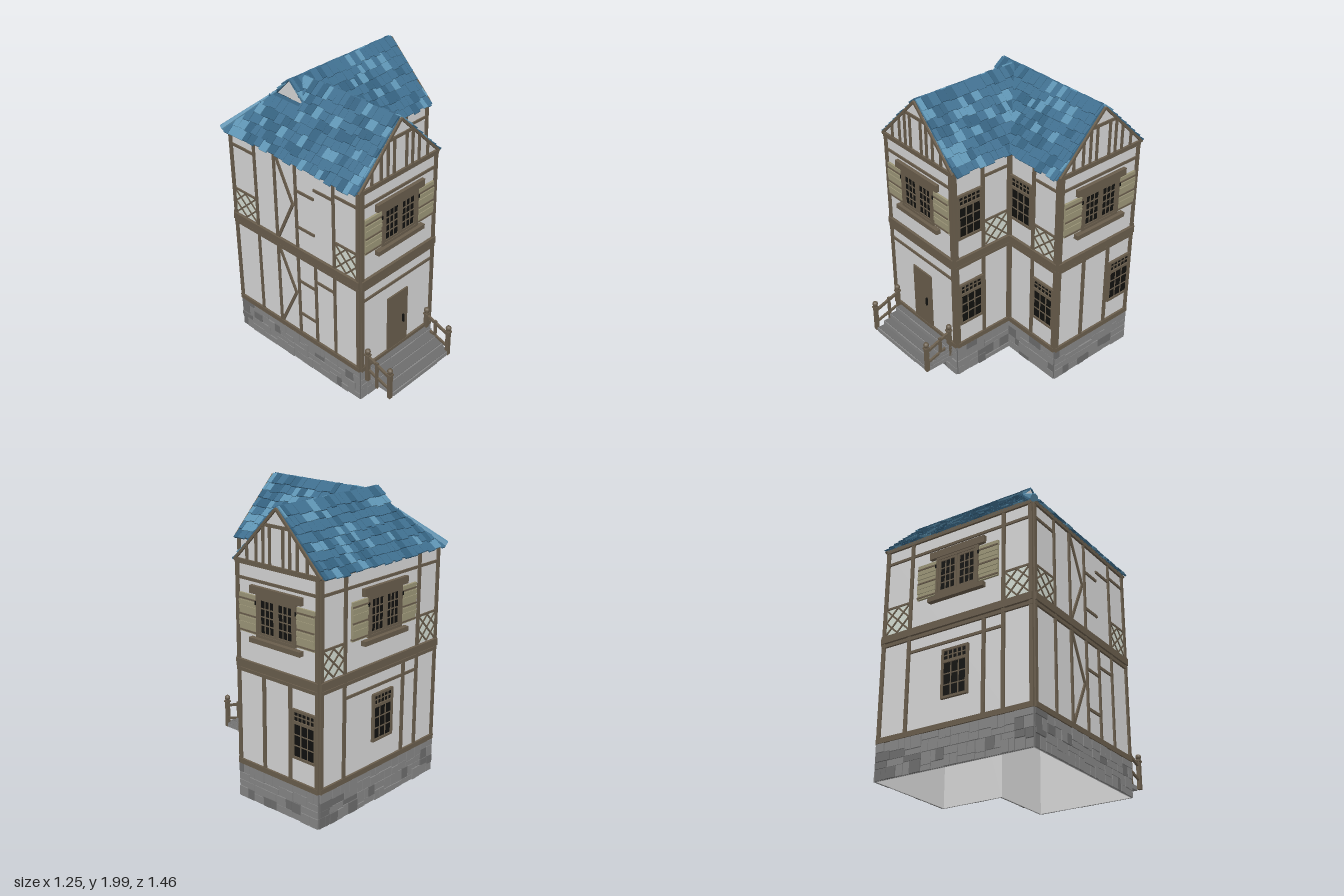
import * as THREE from 'three';
import { mergeGeometries } from 'three/addons/utils/BufferGeometryUtils.js';

const mat = (name, color, side = THREE.FrontSide) =>
  Object.assign(new THREE.MeshStandardMaterial({ color, side }), { name });
const M = {
  wall: mat('plaster', 0xd6d6d6, THREE.DoubleSide),
  panel: mat('pale panel', 0xd3dbd1),
  timber: mat('timber', 0x695d4c),
  shutter: mat('shutter tan', 0x9c9678),
  glass: mat('dark glass', 0x11110f),
  stone: mat('stone', 0x868686),
  darkStone: mat('dark stone', 0x6d6d6d),
  roof: mat('roof blue', 0x3f6f8f),
  roofDark: mat('roof dark blue', 0x33607e, THREE.DoubleSide),
  roofLight: mat('roof light blue', 0x5e94b3),
};
let seed = 7;
const rnd = () => ((seed = (seed * 16807) % 2147483647) / 2147483647);
const vary = (a, b) => a + (b - a) * rnd();

function add(parent, name, geo, material) {
  const m = new THREE.Mesh(geo, material);
  m.name = name;
  parent.add(m);
  return m;
}
const boxGeo = (u0, u1, y0, y1, d0, d1) =>
  new THREE.BoxGeometry(u1 - u0, y1 - y0, d1 - d0).translate((u0 + u1) / 2, (y0 + y1) / 2, (d0 + d1) / 2);
const box = (p, name, m, u0, u1, y0, y1, d1 = 0.012, d0 = 0) => add(p, name, boxGeo(u0, u1, y0, y1, d0, d1), m);

// Slanted timber between two points of a wall
function brace(p, u0, y0, u1, y1, w = 0.014, d = 0.01, name = 'brace') {
  const g = new THREE.BoxGeometry(Math.hypot(u1 - u0, y1 - y0), w, d);
  const m = add(p, name, g, M.timber);
  m.position.set((u0 + u1) / 2, (y0 + y1) / 2, d / 2);
  m.rotation.z = Math.atan2(y1 - y0, u1 - u0);
}
// Wall frame: local x runs along the wall, local z points outwards
function face(root, name, yaw, out) {
  const turn = new THREE.Group(), g = new THREE.Group();
  turn.rotation.y = yaw;
  g.position.z = out;
  g.name = name;
  turn.name = name + 'Turn';
  turn.add(g);
  root.add(turn);
  return g;
}
const post = (p, u, y0, y1, w = 0.024) => box(p, 'post', M.timber, u - w / 2, u + w / 2, y0, y1);
const rail = (p, u0, u1, y, h = 0.018) => box(p, 'rail', M.timber, u0, u1, y - h / 2, y + h / 2, 0.01);

// Glazing bars over a dark pane
function glazing(p, u0, u1, y0, y1, cols, rows, w = 0.007) {
  box(p, 'pane', M.glass, u0, u1, y0, y1, 0.009);
  for (let i = 1; i < cols; i++) {
    const u = u0 + ((u1 - u0) * i) / cols;
    box(p, 'glazingBar', M.timber, u - w / 2, u + w / 2, y0, y1, 0.013);
  }
  for (let j = 1; j < rows; j++) {
    const y = y0 + ((y1 - y0) * j) / rows;
    box(p, 'glazingBar', M.timber, u0, u1, y - w / 2, y + w / 2, 0.013);
  }
}
function frame(p, u0, u1, y0, y1, w, d) {
  box(p, 'windowFrame', M.timber, u0, u0 + w, y0, y1, d);
  box(p, 'windowFrame', M.timber, u1 - w, u1, y0, y1, d);
  box(p, 'windowFrame', M.timber, u0, u1, y0, y0 + w, d);
  box(p, 'windowFrame', M.timber, u0, u1, y1 - w, y1, d);
}
function tallWindow(p, c, y0) {
  const a = c - 0.085, b = c + 0.085;
  frame(p, c - 0.1, c + 0.1, y0, y0 + 0.33, 0.016, 0.018);
  glazing(p, a, b, y0 + 0.015, y0 + 0.235, 3, 3);
  glazing(p, a, b, y0 + 0.255, y0 + 0.315, 5, 2);
  box(p, 'transom', M.timber, a, b, y0 + 0.235, y0 + 0.255, 0.018);
}
function shutteredWindow(p, c) {
  frame(p, c - 0.165, c + 0.165, 1.155, 1.43, 0.018, 0.02);
  for (const s of [-1, 1]) {
    const m = c + s * 0.075;
    frame(p, m - 0.073, m + 0.073, 1.17, 1.415, 0.018, 0.016);
    glazing(p, m - 0.055, m + 0.055, 1.188, 1.397, 3, 4);
    const h = c + s * 0.243;
    box(p, 'shutter', M.shutter, h - 0.072, h + 0.072, 1.165, 1.415, 0.015);
    for (let i = 0; i < 7; i++) {
      const y = 1.172 + i * 0.0345;
      box(p, 'shutterSlat', i % 3 ? M.shutter : M.timber, h - 0.072, h + 0.072, y, y + (i % 3 ? 0.026 : 0.01), 0.02);
    }
    box(p, 'hinge', M.glass, c + s * 0.168 - 0.006, c + s * 0.168 + 0.006, 1.36, 1.385, 0.022);
  }
  box(p, 'lintel', M.timber, c - 0.215, c + 0.215, 1.43, 1.48, 0.025);
  box(p, 'windowSill', M.timber, c - 0.215, c + 0.215, 1.115, 1.147, 0.035);
}
// Square panel with diagonals and a diamond
function lattice(p, u0, u1) {
  const y0 = 0.985, y1 = 1.165, c = (u0 + u1) / 2, m = (y0 + y1) / 2;
  box(p, 'latticePanel', M.panel, u0, u1, y0, y1, 0.004);
  rail(p, u0, u1, 1.172, 0.014);
  [[u0, y0, u1, y1], [u0, y1, u1, y0], [u0, m, c, y1], [c, y1, u1, m], [u1, m, c, y0], [c, y0, u0, m]]
    .forEach((q) => brace(p, ...q, 0.011, 0.009, 'latticeBar'));
}
// Stone plinth, beams and corner posts shared by every wall
function dress(p, u0, u1) {
  const sets = [[], []];
  box(p, 'plinthBacking', M.darkStone, u0, u1, 0, 0.24, 0.003);
  for (let band = 0; band < 2; band++) {
    for (let u = u0; u < u1 - 0.001;) {
      let e = u + vary(0.06, 0.14);
      if (u1 - e < 0.04) e = u1;
      const lo = band * 0.12, mid = lo + vary(0.035, 0.085);
      for (const [a, b] of [[lo, mid], [mid, lo + 0.12]]) {
        const cut = b - a > 0.06 && e - u > 0.09 ? u + (e - u) * vary(0.35, 0.65) : e;
        for (const [s, t] of cut < e ? [[u, cut], [cut, e]] : [[u, e]])
          sets[rnd() < 0.8 ? 0 : 1].push(boxGeo(s + 0.002, t - 0.002, a + 0.002, b - 0.002, 0, vary(0.006, 0.014)));
      }
      u = e;
    }
  }
  sets.forEach((s, i) => s.length && add(p, 'plinthStones', mergeGeometries(s), i ? M.darkStone : M.stone));
  box(p, 'sillBeam', M.timber, u0, u1, 0.24, 0.275, 0.015);
  box(p, 'lowerFloorBeam', M.timber, u0, u1, 0.895, 0.918, 0.014);
  box(p, 'upperFloorBeam', M.timber, u0, u1, 0.925, 0.975, 0.02);
  box(p, 'topBeam', M.timber, u0, u1, 1.6, 1.63, 0.015);
  post(p, u0 + 0.013, 0.27, 1.6, 0.026);
  post(p, u1 - 0.013, 0.27, 1.6, 0.026);
}
function poly(points) {
  return new THREE.ShapeGeometry(new THREE.Shape(points.map(([x, y]) => new THREE.Vector2(x, y))));
}
// Timbered gable triangle
function gable(p, c) {
  add(p, 'gableWall', poly([[c - 0.36, 1.62], [c + 0.36, 1.62], [c, 1.985]]), M.wall);
  for (const s of [-1, 1]) {
    for (const o of [0.055, 0.11, 0.17, 0.25]) post(p, c + s * o, 1.62, Math.min(1.87, 1.975 - o), 0.015);
    brace(p, c + s * 0.36, 1.615, c, 1.978, 0.016, 0.014, 'bargeBoard');
  }
  rail(p, c - 0.11, c + 0.11, 1.87, 0.02);
}

// Roof slope covered in uneven tiles; lo and hi give its ends at height t (0..1)
const RUN = 0.365, RISE = 0.37, LEN = Math.hypot(RUN, RISE), EAVE = 1.615, CUT = 0.67;
function slope(root, name, yaw, out, lo, hi) {
  const holder = face(root, name, yaw, out), g = new THREE.Group();
  g.name = name + 'Plane';
  g.position.y = EAVE;
  g.rotation.x = -Math.atan2(RUN, RISE);
  holder.add(g);
  const ts = [0, CUT - 0.001, CUT + 0.001, 1];
  add(g, 'roofBoards', poly([...ts.map((t) => [hi(t), t * LEN]), ...ts.reverse().map((t) => [lo(t), t * LEN])]), M.roofDark);
  const sets = [[], [], []], rows = 8, h = LEN / rows;
  for (let r = 0; r < rows; r++) {
    const t = (r + 0.5) / rows, start = lo(t), end = hi(t);
    for (let u = start - vary(0, 0.03); u < end;) {
      const w = vary(0.036, 0.07), a = Math.max(u, start), b = Math.min(u + w, end);
      u += w;
      if (b - a < 0.008) continue;
      const top = (r + 1) * h, len = h + vary(0.012, 0.03);
      const tile = new THREE.BoxGeometry(b - a - 0.002, len, 0.011);
      tile.rotateX(-0.12).rotateZ(vary(-0.04, 0.04)).translate((a + b) / 2, top - len / 2, 0.008 + vary(0, 0.004));
      const k = rnd();
      sets[k < 0.6 ? 0 : k < 0.8 ? 1 : 2].push(tile);
    }
  }
  sets.forEach((s, i) => s.length && add(g, 'roofTiles', mergeGeometries(s), [M.roof, M.roofDark, M.roofLight][i]));
}

export function createModel() {
  const root = new THREE.Group();
  root.name = 'timberFramedHouse';
  const Q = Math.PI / 2;

  // Hollow L-shaped shell
  const L = (i) => [[-0.585 + i, -0.49 + i], [0.11 - i, -0.49 + i], [0.11 - i, -0.02 + i], [0.575 - i, -0.02 + i],
    [0.575 - i, 0.675 - i], [-0.585 + i, 0.675 - i]].map(([x, y]) => new THREE.Vector2(x, y));
  const plan = new THREE.Shape(L(0));
  plan.holes.push(new THREE.Path(L(0.008)));
  add(root, 'walls', new THREE.ExtrudeGeometry(plan, { depth: 1.62, bevelEnabled: false }).rotateX(-Q), M.wall);

  // Front wing, front wall with door
  const front = face(root, 'frontWall', 0, 0.49);
  dress(front, -0.585, 0.11);
  rail(front, -0.56, 0.09, 1.51);
  rail(front, -0.56, 0.09, 0.81);
  shutteredWindow(front, -0.24);
  gable(front, -0.24);
  box(front, 'door', M.timber, -0.335, -0.145, 0.25, 0.7, 0.012);
  box(front, 'doorHandle', M.glass, -0.196, -0.186, 0.44, 0.5, 0.024);

  // Side wing, front wall
  const inner = face(root, 'wingFrontWall', 0, 0.02);
  dress(inner, 0.11, 0.575);
  post(inner, 0.345, 0.27, 1.6);
  tallWindow(inner, 0.23, 1.12);
  tallWindow(inner, 0.46, 0.43);
  lattice(inner, 0.36, 0.55);
  rail(inner, 0.36, 0.55, 1.51);

  // Front wing, inner side wall
  const side = face(root, 'innerSideWall', Q, 0.11);
  dress(side, -0.49, -0.02);
  post(side, -0.252, 0.27, 1.6);
  tallWindow(side, -0.365, 1.12);
  tallWindow(side, -0.365, 0.43);
  lattice(side, -0.235, -0.045);
  rail(side, -0.24, -0.045, 1.51);

  // Side wing, gable wall
  const east = face(root, 'wingGableWall', Q, 0.575);
  dress(east, -0.02, 0.675);
  shutteredWindow(east, 0.33);
  rail(east, 0, 0.65, 1.51);
  for (const u of [0.215, 0.44]) post(east, u, 0.27, 0.9);
  tallWindow(east, 0.56, 0.43);
  gable(east, 0.33);

  // Back wall
  const back = face(root, 'backWall', Math.PI, 0.675);
  dress(back, -0.575, 0.585);
  shutteredWindow(back, 0.02);
  for (const [a, b] of [[-0.55, -0.365], [0.385, 0.56]]) {
    lattice(back, a, b);
    rail(back, a, b, 1.51);
  }
  for (const u of [-0.352, 0.372]) post(back, u, 0.27, 1.6);
  rail(back, -0.34, 0.36, 1.51);
  rail(back, -0.34, 0.36, 0.81);
  post(back, 0.23, 0.27, 0.9);
  tallWindow(back, 0.02, 0.43);

  // Long wall with bent braces
  const west = face(root, 'longWall', -Q, 0.585);
  dress(west, -0.675, 0.49);
  for (const [a, b] of [[-0.65, -0.45], [0.285, 0.465]]) {
    lattice(west, a, b);
    rail(west, a, b, 1.51);
  }
  for (const u of [-0.438, -0.25, -0.06, 0.272]) post(west, u, 0.27, 1.6, 0.018);
  post(west, 0.1, 0.27, 0.9, 0.018);
  for (const [y0, y1] of [[0.275, 0.9], [0.975, 1.6]]) {
    const m = (y0 + y1) / 2;
    brace(west, -0.24, y0, -0.09, m, 0.02);
    brace(west, -0.09, m, -0.24, y1, 0.02);
    rail(west, -0.06, 0.1, y0 + 0.43);
    rail(west, 0.1, 0.27, y0 + 0.5);
    rail(west, -0.06, 0.1, y0 + 0.16);
  }
  // Small gablet where the wing's ridge ends
  const gablet = face(root, 'gablet', -Q, 0.352);
  add(gablet, 'gabletWall', poly([[-0.45, 1.86], [-0.21, 1.86], [-0.33, 1.983]]), M.wall);

  // Roof slopes meeting in a hip at the back corner and a valley at the front
  slope(root, 'longRoof', -Q, 0.605, (t) => (t < CUT ? -0.695 + RUN * t : -0.33 + RUN * (1 - t)), () => 0.487);
  slope(root, 'innerRoof', Q, 0.125, () => -0.487, (t) => -0.035 + RUN * t);
  slope(root, 'wingFrontRoof', 0, 0.035, (t) => (t < CUT ? 0.125 - RUN * t : -0.36), () => 0.575);
  slope(root, 'wingBackRoof', Math.PI, 0.695, () => -0.575, (t) => 0.605 - RUN * Math.min(t, CUT));
  const from = new THREE.Vector3(-0.615, 1.615, -0.705), to = new THREE.Vector3(-0.36, 1.875, -0.45);
  const hip = add(root, 'hipCap', new THREE.CylinderGeometry(0.006, 0.026, from.distanceTo(to), 6).toNonIndexed(), M.roofLight);
  hip.geometry.computeVertexNormals();
  hip.position.lerpVectors(from, to, 0.5);
  hip.quaternion.setFromUnitVectors(new THREE.Vector3(0, 1, 0), to.clone().sub(from).normalize());

  // Stone steps
  const steps = new THREE.Group();
  steps.name = 'steps';
  root.add(steps);
  for (let i = 0; i < 4; i++) {
    const cuts = [-0.515, vary(-0.4, -0.3), vary(-0.2, -0.05), 0.065];
    for (let k = 0; k < 3; k++)
      box(steps, 'stepStone', M.stone, cuts[k] + 0.002, cuts[k + 1] - 0.002, 0.12 + 0.033 * i, 0.15 + 0.033 * i, 0.718 - 0.055 * i - vary(0, 0.005), 0.49);
    box(steps, 'stepCore', M.darkStone, -0.51, 0.06, 0.12 + 0.033 * i, 0.153 + 0.033 * i, 0.708 - 0.055 * i, 0.49);
  }
  // Handrails with ball-topped posts
  for (const x of [-0.537, 0.05]) {
    const h = face(root, 'handrail', Q, x - 0.006);
    for (const [z, y0, y1] of [[0.705, 0.12, 0.33], [0.51, 0.15, 0.38]]) {
      box(h, 'newelPost', M.timber, -z - 0.013, -z + 0.013, y0, y1, 0.019, -0.007);
      box(h, 'newelCollar', M.timber, -z - 0.018, -z + 0.018, y1 - 0.02, y1 - 0.008, 0.024, -0.012);
      add(h, 'newelBall', new THREE.SphereGeometry(0.02, 10, 8), M.timber).position.set(-z, y1 + 0.016, 0.006);
    }
    box(h, 'middlePost', M.timber, -0.6, -0.58, 0.13, 0.345, 0.014);
    brace(h, -0.705, 0.285, -0.5, 0.355, 0.018, 0.016, 'handrailBar');
    brace(h, -0.705, 0.185, -0.5, 0.245, 0.016, 0.014, 'handrailBar');
  }
  return root;
}
